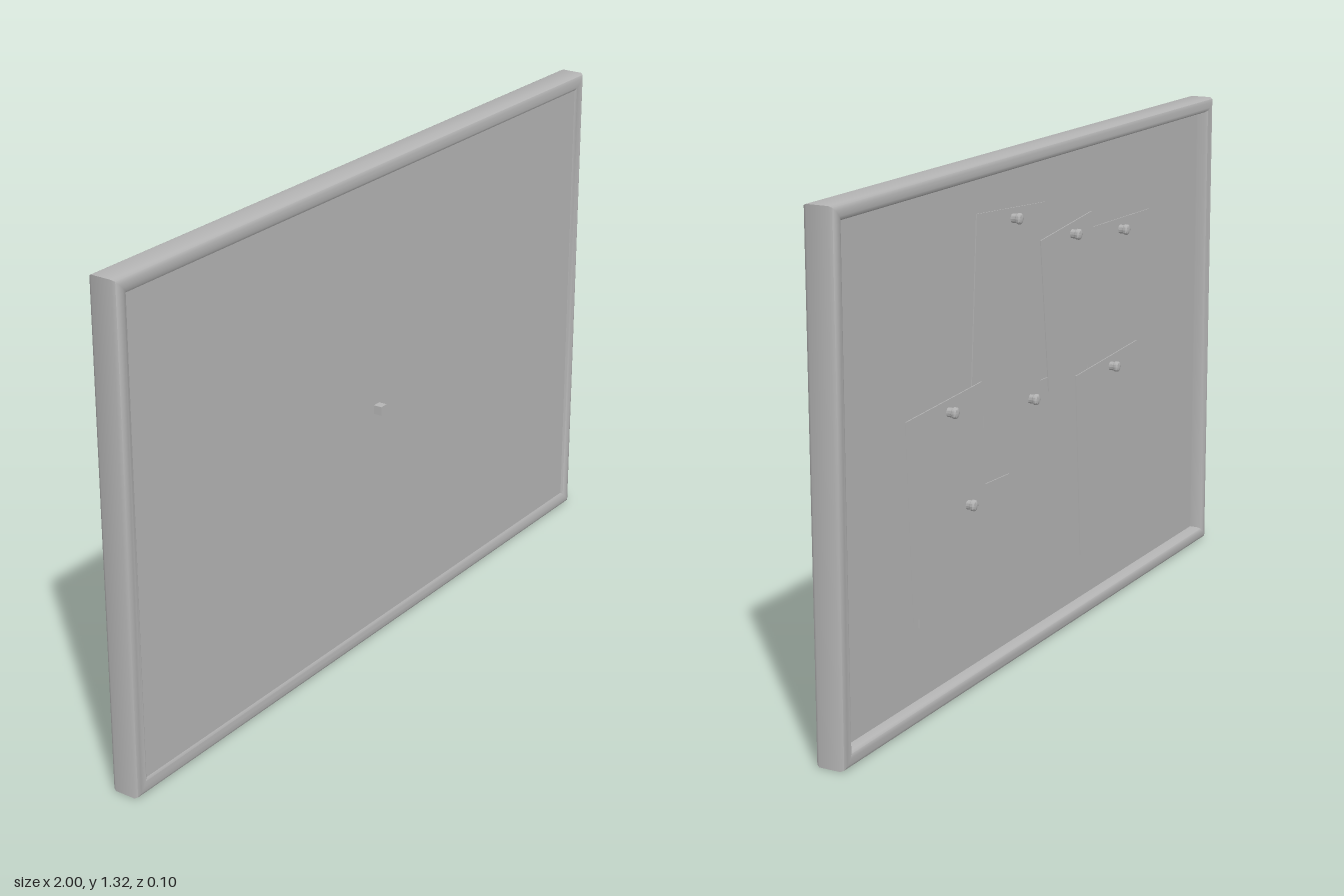
import * as THREE from 'three';
import { toCreasedNormals } from 'three/addons/utils/BufferGeometryUtils.js';

const W = 2, H = 1.32;

// Mitred frame: a cross-section of [inset, z] points swept round a rectangle
function sweepFrame(profile) {
  const pos = [], idx = [];
  for (const [inset, z] of profile) {
    const x = W / 2 - inset, y = H / 2 - inset;
    for (const [sx, sy] of [[1, -1], [1, 1], [-1, 1], [-1, -1]]) pos.push(sx * x, sy * y, z);
  }
  for (let k = 0; k < profile.length - 1; k++) {
    for (let j = 0; j < 4; j++) {
      const a = k * 4 + j, b = k * 4 + (j + 1) % 4;
      idx.push(a, a + 4, b + 4, a, b + 4, b);
    }
  }
  const geo = new THREE.BufferGeometry();
  geo.setAttribute('position', new THREE.Float32BufferAttribute(pos, 3));
  geo.setIndex(idx);
  return toCreasedNormals(geo, 0.7);
}

export function createModel() {
  const group = new THREE.Group();
  const grey = new THREE.MeshStandardMaterial({ color: 0xb4b4b4 });
  grey.name = 'plainGrey';

  const add = (name, geo, x, y, z, parent = group) => {
    const mesh = new THREE.Mesh(geo, grey);
    mesh.name = name;
    mesh.position.set(x, y, z);
    parent.add(mesh);
    return mesh;
  };

  // Rounded frame, from the front inner lip over the outside to the back recess
  add('frame', sweepFrame([
    [0.042, 0.029], [0.034, 0.034], [0.024, 0.037], [0.012, 0.037], [0.004, 0.033], [0, 0.025],
    [0, -0.033], [0.004, -0.041], [0.012, -0.045], [0.026, -0.045], [0.034, -0.042],
    [0.038, -0.035], [0.038, -0.009],
  ]), 0, H / 2, 0);

  // Flat board set into the frame
  add('board', new THREE.BoxGeometry(W - 0.07, H - 0.07, 0.04), 0, H / 2, 0.01);

  // Small peg on the front
  add('frontPeg', new THREE.BoxGeometry(0.024, 0.024, 0.025), 0, H / 2, 0.0405);

  // Pinned sheets on the back: centre x, y, width, height, tilt, layer, pin x, y
  const sheets = [
    [0.068, 0.557, 0.44, 0.29, 0, 0, 0.05, 0.667],
    [0.162, 0.925, 0.358, 0.51, 0.069, 1, 0.143, 1.153],
    [-0.46, 0.8, 0.36, 0.508, 0.015, 0, -0.464, 1.024],
    [0.394, 0.362, 0.44, 0.29, 0.04, 2, 0.385, 0.475],
    [0.48, 0.511, 0.364, 0.505, -0.05, 3, 0.476, 0.733],
    [-0.159, 0.885, 0.287, 0.409, -0.11, 3, -0.166, 1.062],
    [-0.395, 0.429, 0.366, 0.509, -0.06, 2, -0.402, 0.656],
  ];
  // Pin: short shank with a rounded head, pointing out of the back
  const pinGeo = toCreasedNormals(new THREE.LatheGeometry([
    [0.012, -0.002], [0.012, 0.014], [0.0145, 0.017], [0.0145, 0.023], [0.011, 0.027], [0, 0.029],
  ].map(p => new THREE.Vector2(...p)), 12).rotateX(-Math.PI / 2), 0.7);

  sheets.forEach(([x, y, w, h, tilt, layer, px, py], i) => {
    const z = -0.0125 - layer * 0.0028;
    const sheet = add('paper' + (i + 1), new THREE.BoxGeometry(w, h, 0.0026), x, y, z);
    sheet.rotation.z = tilt;
    add('pin' + (i + 1), pinGeo, px, py, z);
  });

  return group;
}
